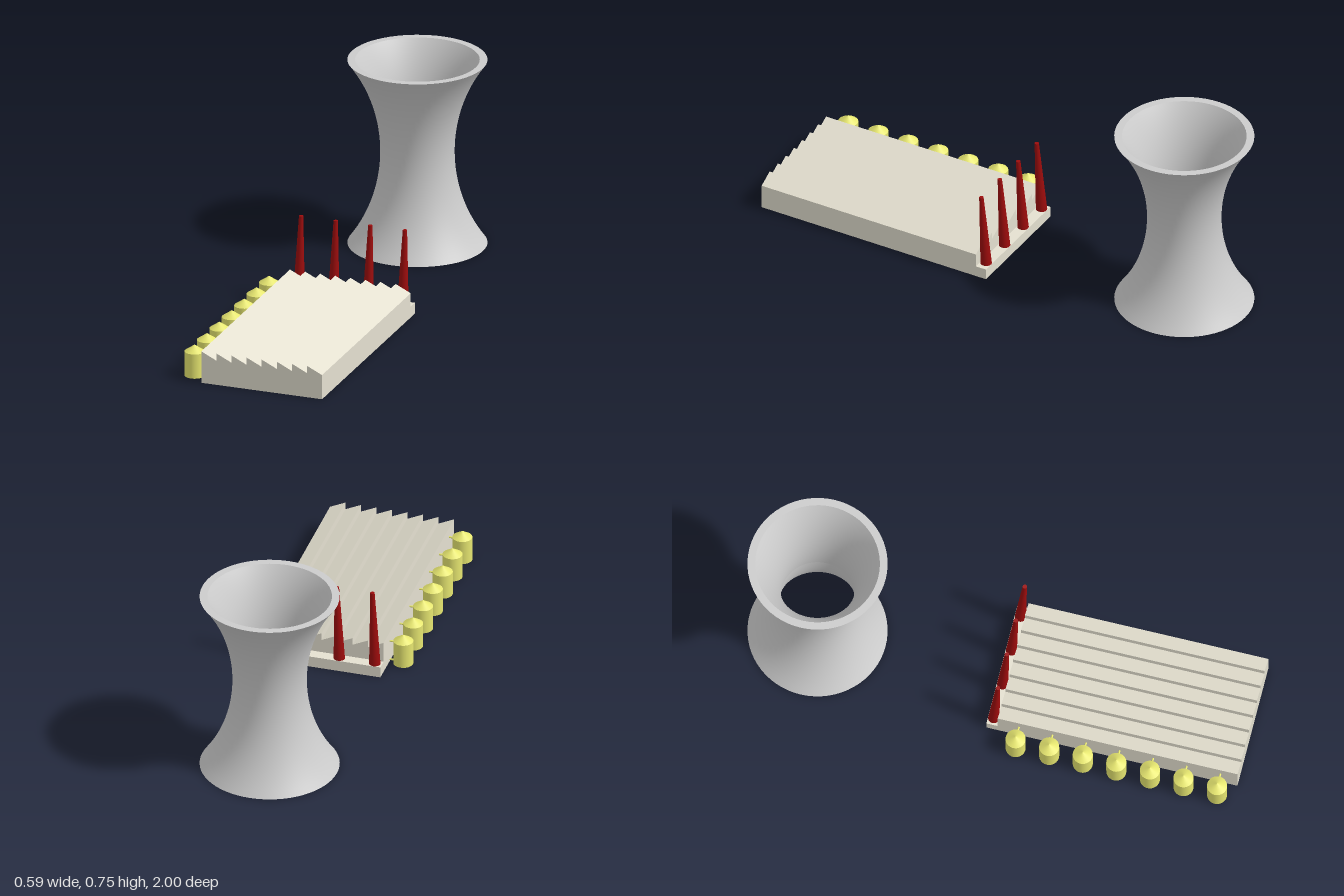
import * as THREE from 'three';

const material = (color, side = THREE.FrontSide) => new THREE.MeshStandardMaterial({ color, side });
const wallMat = material(0xe4e0d0);
const tankMat = material(0xe6e670);
const stackMat = material(0x9c0c0c);
const towerMat = material(0xcccccc, THREE.DoubleSide);

function add(parent, name, geometry, mat, x = 0, y = 0, z = 0) {
  const mesh = new THREE.Mesh(geometry, mat);
  mesh.name = name;
  mesh.position.set(x, y, z);
  parent.add(mesh);
  return mesh;
}

// Waisted shell on a circular arc, with a flat rim and an inner wall down to the throat
function coolingTower() {
  const tower = new THREE.Group();
  tower.name = 'coolingTower';
  const H = 0.755, mid = H / 2, throat = 0.144, rim = 0.271, lip = 0.03, steps = 32;
  const sag = rim - throat;
  const R = (mid * mid + sag * sag) / (2 * sag);
  const radius = (y) => throat + R - Math.sqrt(R * R - (y - mid) ** 2);
  const outer = [], inner = [];
  for (let i = 0; i <= steps; i++) {
    const y = (H * i) / steps;
    outer.push(new THREE.Vector2(radius(y), y));
    const t = 1 - i / steps, yi = mid + mid * t;
    inner.push(new THREE.Vector2(radius(yi) - lip * t, yi));
  }
  const rimProfile = [new THREE.Vector2(rim, H), new THREE.Vector2(rim - lip, H)];
  add(tower, 'towerShell', new THREE.LatheGeometry(outer, 64), towerMat);
  add(tower, 'towerRim', new THREE.LatheGeometry(rimProfile, 64), towerMat);
  add(tower, 'towerInnerWall', new THREE.LatheGeometry(inner, 64), towerMat);
  tower.position.set(0.025, 0, -0.729);
  return tower;
}

// Long hall with a sawtooth roof and a low ledge behind it
function hall() {
  const group = new THREE.Group();
  group.name = 'factoryHall';
  const left = -0.205, width = 0.5, teeth = 8, pitch = width / teeth, ledge = 0.045;
  const shape = new THREE.Shape();
  shape.moveTo(left, 0);
  shape.lineTo(left + width, 0);
  for (let i = teeth - 1; i >= 0; i--) {
    shape.lineTo(left + (i + 1) * pitch, 0.1);
    shape.lineTo(left + i * pitch, 0.13);
  }
  shape.closePath();
  const body = new THREE.ExtrudeGeometry(shape, { depth: 1 - ledge, bevelEnabled: false });
  add(group, 'sawtoothHall', body, wallMat, 0, 0, ledge);
  add(group, 'rearLedge', new THREE.BoxGeometry(width, ledge, ledge), wallMat, left + width / 2, ledge / 2, ledge / 2);
  return group;
}

// Chimney tapering towards its front right edge
function chimneyGeometry() {
  const rTop = 0.0085, rBase = 0.0222, h = 0.312;
  const geometry = new THREE.CylinderGeometry(rTop, rBase, h, 24);
  const pos = geometry.attributes.position;
  for (let i = 0; i < pos.count; i++) {
    const shift = (rBase - rTop) * (pos.getY(i) / h + 0.5);
    pos.setX(i, pos.getX(i) + shift);
    pos.setZ(i, pos.getZ(i) + shift);
  }
  geometry.computeBoundingSphere();
  return geometry.translate(0, h / 2, 0);
}

// Storage tank with conical roof and two pipes to the hall
function tank(z) {
  const group = new THREE.Group();
  group.name = 'storageTank';
  add(group, 'tankBody', new THREE.CylinderGeometry(0.039, 0.039, 0.1, 32), tankMat, 0, 0.05, 0);
  add(group, 'tankRoof', new THREE.ConeGeometry(0.039, 0.027, 32, 1, true), tankMat, 0, 0.1135, 0);
  for (const y of [0.007, 0.09]) {
    const pipe = new THREE.CylinderGeometry(0.0037, 0.0037, 0.03, 12).rotateZ(Math.PI / 2);
    add(group, 'tankPipe', pipe, tankMat, 0.045, y, 0);
  }
  group.position.set(-0.259, 0, z);
  return group;
}

export function createModel() {
  const model = new THREE.Group();
  model.name = 'factory';
  model.add(coolingTower(), hall());
  const chimney = chimneyGeometry();
  for (let i = 0; i < 4; i++) {
    add(model, 'chimney', chimney, stackMat, -0.176 + i * 0.1433, 0.043, 0.0225);
  }
  for (let i = 0; i < 7; i++) model.add(tank(0.13 + i * 0.1337));
  return model;
}
